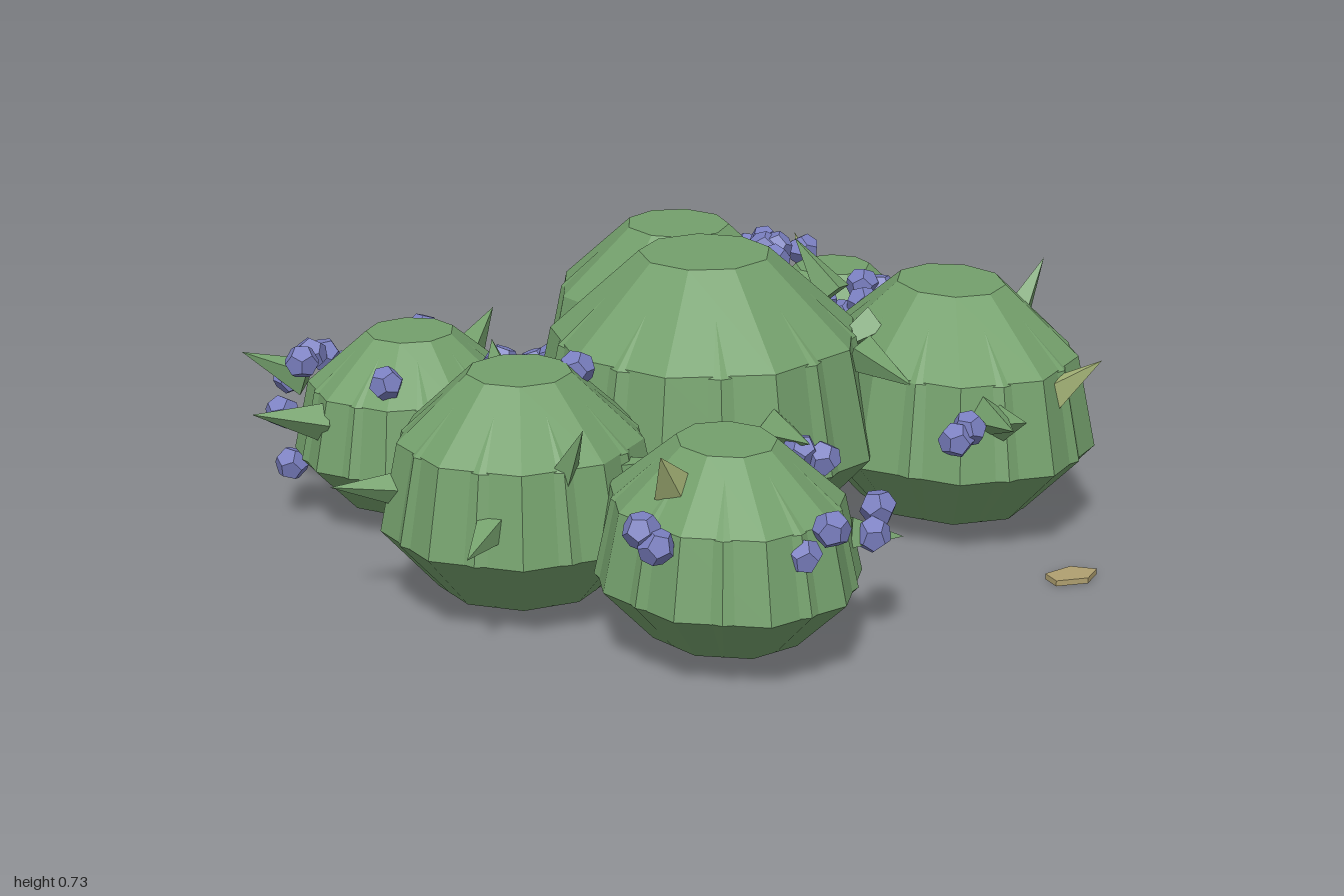
import * as THREE from 'three';

const mat = (color) => new THREE.MeshStandardMaterial({ color, flatShading: true });

export function createModel() {
  const root = new THREE.Group();
  root.name = 'bushCluster';
  const green = mat(0x74a06c), pale = mat(0xa9b87a), blue = mat(0x7a7fc0);
  const brown = mat(0x8f6c56), tan = mat(0xb0a070);

  const add = (geometry, material, name, parent = root) => {
    const mesh = new THREE.Mesh(geometry, material);
    mesh.name = name;
    parent.add(mesh);
    return mesh;
  };

  // Faceted domes: x, z, x radius, z radius, top height
  const bushes = [
    [0.04, -0.04, 0.44, 0.44, 0.73],
    [0.645, 0.11, 0.355, 0.41, 0.62],
    [0.24, -0.62, 0.36, 0.385, 0.63],
    [0.65, -0.52, 0.27, 0.26, 0.49],
    [-0.57, -0.47, 0.30, 0.29, 0.49],
    [-0.55, 0.19, 0.335, 0.335, 0.58],
    [-0.24, 0.65, 0.305, 0.345, 0.51],
  ];
  const profile = [[0, 0], [0.6, 0], [1, 0.29], [0.87, 0.7], [0.37, 1], [0, 1]]
    .map(([r, y]) => new THREE.Vector2(r, y));
  const dome = new THREE.LatheGeometry(profile, 9);
  const stemGeo = new THREE.CylinderGeometry(0.018, 0.022, 0.08, 6);
  bushes.forEach(([x, z, rx, rz, top], i) => {
    const bush = new THREE.Group();
    bush.name = 'bush';
    bush.position.set(x, 0, z);
    root.add(bush);
    // Two overlapping shells turned half a facet apart give the notched rim
    for (let k = 0; k < 2; k++) {
      const shell = new THREE.Group();
      shell.name = k ? 'innerFoliage' : 'outerFoliage';
      const s = k ? 0.97 : 1;
      shell.scale.set(rx * s, (top - 0.06) * (k ? 0.98 : 1), rz * s);
      shell.position.y = 0.06 + k * 0.004;
      bush.add(shell);
      add(dome, green, 'foliage', shell).rotation.y = i * 0.9 + k * Math.PI / 9;
    }
    add(stemGeo, brown, 'stem', bush).position.y = 0.04;
  });

  // Berries: x, y, z
  const berryGeo = new THREE.DodecahedronGeometry(0.044, 0);
  const berries = [
    [-0.13, 0.38, 0.95], [-0.19, 0.32, 0.93], [0.09, 0.33, 0.76], [0.06, 0.28, 0.79],
    [0.09, 0.36, 0.49], [0.04, 0.38, 0.47], [-0.52, 0.39, 0.80], [-0.50, 0.36, 0.83],
    [-0.40, 0.56, 0.18], [0.45, 0.35, 0.49], [0.49, 0.37, 0.48], [0.34, 0.61, -0.26],
    [0.32, 0.58, -0.24], [0.50, 0.47, -0.30], [0.55, 0.43, -0.28], [0.59, 0.47, -0.24],
    [0.62, 0.50, -0.30], [0.67, 0.48, -0.30], [0.66, 0.42, -0.25], [0.93, 0.24, -0.57],
    [0.48, 0.56, -0.52], [0.45, 0.56, -0.53], [0.49, 0.55, -0.61], [0.55, 0.50, -0.71],
    [0.53, 0.48, -0.79], [0.57, 0.30, -0.89], [0.53, 0.31, -0.84], [0.63, 0.50, -0.65],
    [-0.17, 0.30, -0.62], [-0.13, 0.32, -0.59], [-0.02, 0.48, -0.44],
    [-0.27, 0.27, -0.57], [-0.38, 0.42, -0.34], [-0.39, 0.37, -0.28], [-0.70, 0.42, -0.30],
    [-0.64, 0.30, -0.12], [-0.83, 0.42, -0.55], [-0.89, 0.30, -0.54], [-0.86, 0.15, -0.57],
    [-0.83, 0.35, -0.65], [-0.77, 0.40, -0.66], [-0.72, 0.38, -0.70], [-0.65, 0.32, -0.75],
    [-0.45, 0.30, -0.74], [-0.46, 0.42, -0.67], [-0.42, 0.36, -0.72],
    [-0.28, 0.05, 0.67], [-0.20, 0.05, 0.49], [-0.63, 0.05, -0.11],
  ];
  berries.forEach((p, i) => {
    const berry = add(berryGeo, blue, 'berry');
    berry.position.set(...p);
    berry.rotation.set(i * 0.7, i * 1.3, 0);
  });

  // Pointed leaves: base, tip, pale flag
  const leaves = [
    [-0.80, 0.31, 0.14, -0.99, 0.33, 0.10], [-0.70, 0.30, 0.40, -0.82, 0.27, 0.52],
    [-0.56, 0.36, 0.42, -0.53, 0.53, 0.51], [-0.40, 0.36, 0.38, -0.30, 0.42, 0.50],
    [-0.50, 0.46, -0.04, -0.46, 0.53, -0.20], [-0.82, 0.30, -0.42, -1.0, 0.34, -0.44],
    [-0.80, 0.36, -0.60, -0.94, 0.42, -0.69], [-0.38, 0.36, -0.58, -0.25, 0.44, -0.71],
    [0.08, 0.55, -0.37, 0.14, 0.62, -0.45, 1], [0.66, 0.38, -0.65, 0.67, 0.51, -0.78, 1],
    [0.77, 0.38, 0.39, 0.84, 0.50, 0.51, 1], [0.56, 0.38, 0.44, 0.53, 0.40, 0.62],
    [0.59, 0.36, 0.45, 0.59, 0.40, 0.58], [0.34, 0.50, 0.20, 0.42, 0.44, 0.33],
    [0.84, 0.46, 0.08, 0.94, 0.63, 0.07], [0.45, 0.54, -0.14, 0.39, 0.67, -0.24],
    [0.44, 0.53, 0.09, 0.27, 0.46, 0.10], [-0.40, 0.44, 0.71, -0.46, 0.54, 0.77, 1],
    [0.03, 0.40, 0.36, 0.03, 0.42, 0.54], [0.02, 0.28, 0.76, 0.13, 0.27, 0.81],
    [0.94, 0.34, 0.02, 0.97, 0.46, -0.02],
  ];
  const leafGeo = new THREE.ConeGeometry(0.05, 1, 4).translate(0, 0.5, 0);
  const up = new THREE.Vector3(0, 1, 0);
  for (const [x, y, z, tx, ty, tz, isPale] of leaves) {
    const dir = new THREE.Vector3(tx - x, ty - y, tz - z);
    const leaf = add(leafGeo, isPale ? pale : green, 'pointedLeaf');
    leaf.position.set(x, y, z);
    leaf.scale.y = dir.length();
    leaf.quaternion.setFromUnitVectors(up, dir.normalize());
  }

  // Fallen leaves lying flat on the ground
  for (const [x, z, turn] of [[0.70, 0.63, 0.3], [0.79, -0.05, 1.1]]) {
    const fallen = add(new THREE.CylinderGeometry(0.055, 0.055, 0.014, 5).rotateY(turn), tan, 'fallenLeaf');
    fallen.scale.set(1.3, 1, 0.8);
    fallen.position.set(x, 0.007, z);
  }
  return root;
}
